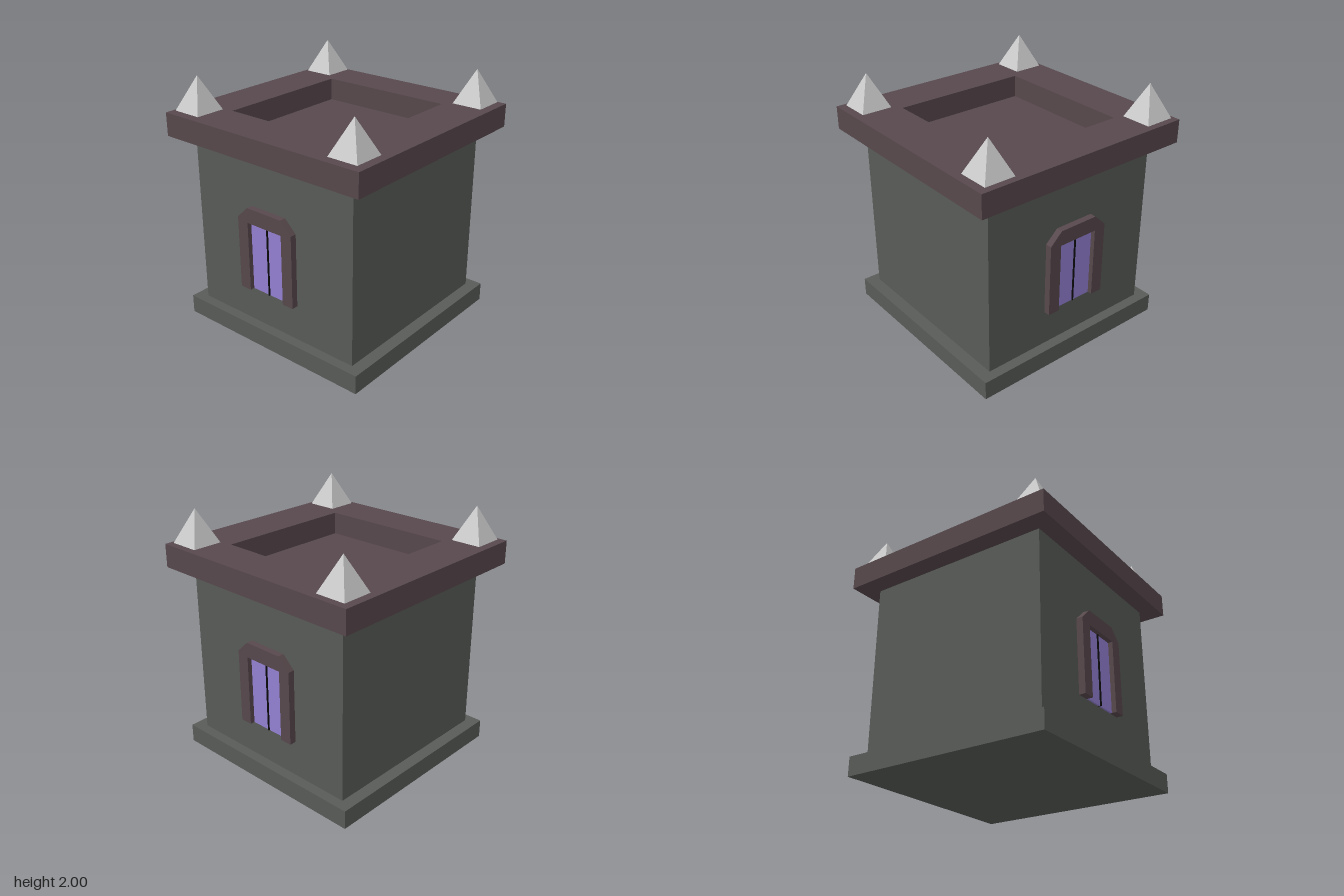
import * as THREE from 'three';

const paint = (color) => new THREE.MeshStandardMaterial({ color, flatShading: true });
const stone = paint(0x585b57);
const trim = paint(0x57484c);
const glass = paint(0x9380d2);
const dark = paint(0x0a0a0a);
const grey = paint(0xcccccc);

// Box given by its lower and upper corners
function block(name, [x0, y0, z0], [x1, y1, z1], material) {
  const mesh = new THREE.Mesh(new THREE.BoxGeometry(x1 - x0, y1 - y0, z1 - z0), material);
  mesh.position.set((x0 + x1) / 2, (y0 + y1) / 2, (z0 + z1) / 2);
  mesh.name = name;
  return mesh;
}

function polygon(points, Type = THREE.Shape) {
  return new Type(points.map(([x, y]) => new THREE.Vector2(x, y)));
}

function extrude(name, shape, depth, material) {
  const mesh = new THREE.Mesh(new THREE.ExtrudeGeometry(shape, { depth, bevelEnabled: false }), material);
  mesh.name = name;
  return mesh;
}

// Window centred on x = 0, its back on z = 0, facing +z
function createWindow(name) {
  const group = new THREE.Group();
  group.name = name;
  const frame = polygon([
    [-0.265, 0.44], [-0.167, 0.44], [-0.167, 1.005], [0.167, 1.005], [0.167, 0.44],
    [0.265, 0.44], [0.265, 1.03], [0.165, 1.125], [-0.165, 1.125], [-0.265, 1.03],
  ]);
  group.add(extrude('windowFrame', frame, 0.052, trim));
  for (const side of [-1, 1]) {
    const pane = block('windowPane', [-0.081, 0.44, 0], [0.081, 1.005, 0.015], glass);
    pane.position.x = side * 0.086;
    group.add(pane);
  }
  group.add(block('windowMullion', [-0.005, 0.44, 0], [0.005, 1.005, 0.025], dark));
  return group;
}

export function createModel() {
  const model = new THREE.Group();
  model.name = 'tower';

  // Plinth and walls
  model.add(block('plinth', [-0.857, 0, -0.84], [0.855, 0.15, 0.84], stone));
  model.add(block('walls', [-0.76, 0.15, -0.76], [0.757, 1.54, 0.76], stone));

  // Roof slab with a square recess; shape y becomes -z
  const slab = polygon([[-0.916, -0.903], [0.913, -0.903], [0.913, 0.903], [-0.916, 0.903]]);
  slab.holes.push(polygon([[-0.565, -0.56], [-0.565, 0.58], [0.54, 0.58], [0.54, -0.56]], THREE.Path));
  const roof = extrude('roofRim', slab, 0.184, trim);
  roof.rotation.x = -Math.PI / 2;
  roof.position.y = 1.54;
  model.add(roof);
  model.add(block('roofFloor', [-0.565, 1.535, -0.58], [0.54, 1.545, 0.56], trim));

  // Corner spikes
  const spikeGeometry = new THREE.ConeGeometry(0.246 / Math.SQRT2, 0.265, 4).rotateY(Math.PI / 4);
  for (const x of [-0.745, 0.735]) {
    for (const z of [-0.742, 0.726]) {
      const spike = new THREE.Mesh(spikeGeometry, grey);
      spike.name = 'cornerSpike';
      spike.position.set(x, 1.8675, z);
      model.add(spike);
    }
  }

  // Windows on the front and back
  const front = createWindow('frontWindow');
  front.position.set(-0.027, 0, 0.76);
  const back = createWindow('backWindow');
  back.rotation.y = Math.PI;
  back.position.set(-0.027, 0, -0.76);
  model.add(front, back);

  return model;
}
